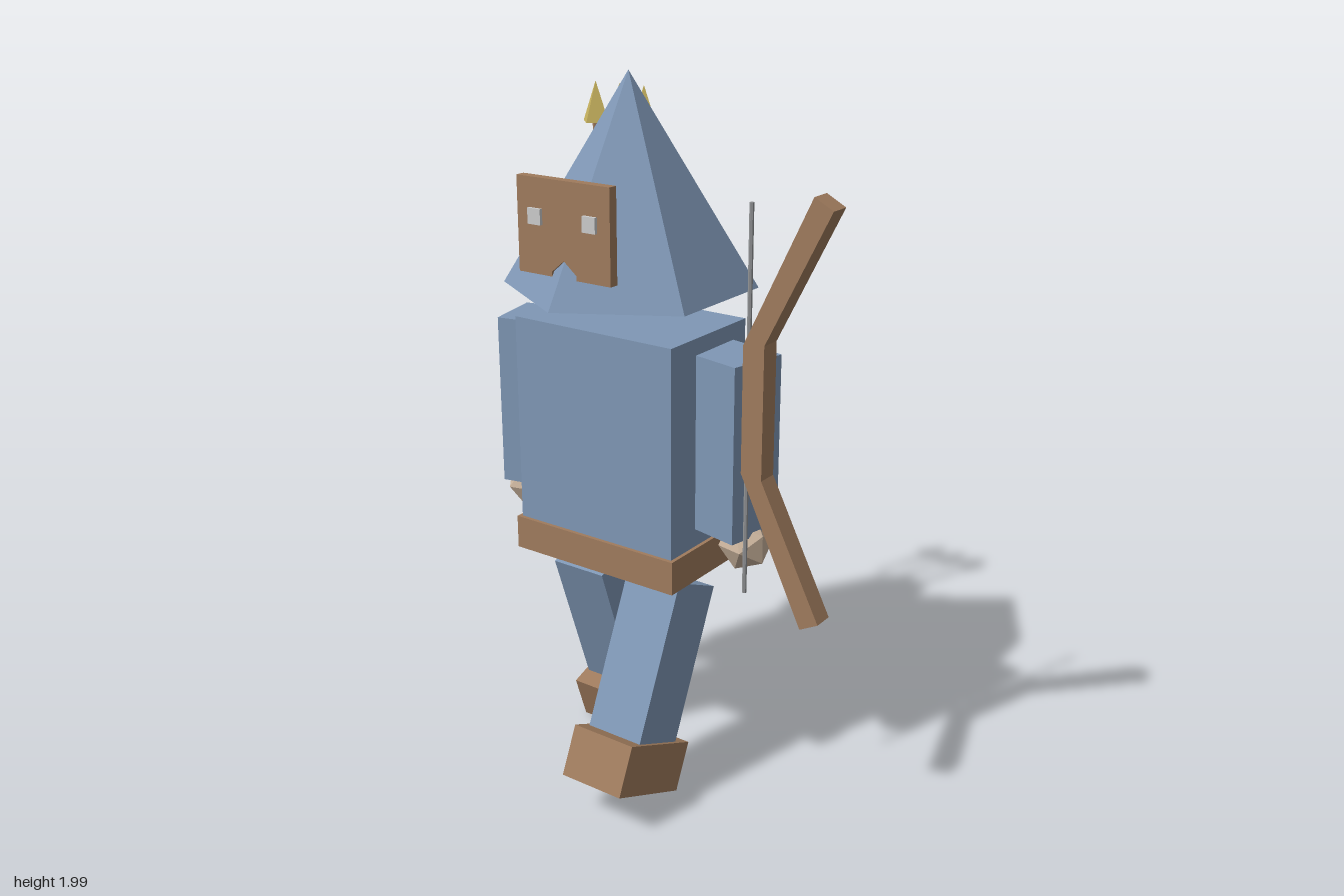
import * as THREE from 'three';

const mat = (name, color) => {
  const m = new THREE.MeshStandardMaterial({ color, flatShading: true });
  m.name = name;
  return m;
};

export function createModel() {
  const blue = mat('blue cloth', 0x7f97b5);
  const brown = mat('brown leather', 0x9f7b5d);
  const gold = mat('gold', 0xcab560);
  const skin = mat('skin', 0xc6b09a);
  const pale = mat('pale eyes', 0xcccccc);
  const grey = mat('grey string', 0x929496);

  const model = new THREE.Group();
  const add = (name, geometry, material, x, y, z, parent = model) => {
    const mesh = new THREE.Mesh(geometry, material);
    mesh.name = name;
    mesh.position.set(x, y, z);
    parent.add(mesh);
    return mesh;
  };
  const box = (w, h, d) => new THREE.BoxGeometry(w, h, d);
  const extrude = (points, depth) => new THREE.ExtrudeGeometry(
    new THREE.Shape(points.map(([x, y]) => new THREE.Vector2(x, y))),
    { depth, bevelEnabled: false });

  const cx = -0.107, cz = 0.023; // body axis

  // Hood, torso and belt
  add('hood', new THREE.ConeGeometry(0.342, 0.56, 6), blue, cx, 1.72, cz);
  add('torso', box(0.516, 0.64, 0.343), blue, cx, 1.03, cz + 0.003);
  add('belt', box(0.537, 0.095, 0.367), brown, cx, 0.717, cz + 0.002);

  // Arms angled outward, with faceted hands
  for (const s of [1, -1]) {
    const side = s > 0 ? 'left' : 'right';
    const arm = add(side + 'Arm', box(0.2, 0.489, 0.17), blue, cx + s * 0.316, 1.06, 0.012);
    arm.rotation.y = -s * 0.21;
    const hand = add(side + 'Hand', new THREE.IcosahedronGeometry(0.075), skin, cx + s * 0.376, 0.781, 0.018);
    hand.rotation.y = Math.PI / 2 - s * 0.21;
  }

  // Striding legs: each group hangs from the leg's top end
  for (const [side, x, y, z, swing] of [
    ['left', 0.038, 0.622, 0.037, -0.425],
    ['right', -0.255, 0.617, 0.003, 0.328],
  ]) {
    const leg = new THREE.Group();
    leg.name = side + 'LegGroup';
    leg.position.set(x, y, z);
    leg.rotation.x = swing;
    add(side + 'Leg', box(0.174, 0.5, 0.185), blue, 0, -0.25, 0, leg);
    add(side + 'Boot', box(0.196, 0.143, 0.292), brown, 0, -0.525, 0, leg);
    model.add(leg);
  }

  // Mask with a notch at the chin, and square eyes
  add('mask', extrude([
    [-0.147, -0.125], [-0.039, -0.125], [-0.039, -0.112], [0, -0.08],
    [0.039, -0.112], [0.039, -0.125], [0.147, -0.125], [0.147, 0.122], [-0.147, 0.122],
  ], 0.027), brown, cx, 1.638, 0.271);
  for (const s of [1, -1]) {
    add(s > 0 ? 'leftEye' : 'rightEye', box(0.041, 0.041, 0.009), pale, cx + s * 0.087, 1.662, 0.3025);
  }

  // Bow and its string
  const upper = [[0.373, 0.18], [0.553, 0.537], [0.5, 0.565], [0.311, 0.172]];
  const lower = upper.map(([x, y]) => [x, -y]).reverse();
  add('bow', extrude([...upper, ...lower], 0.058), brown, 0, 1.196, 0.056);
  add('bowString', new THREE.CylinderGeometry(0.006, 0.006, 1.05, 6), grey, 0.309, 1.196, 0.083);

  // Tilted quiver between two axis points
  const low = new THREE.Vector3(-0.408, 1.003, -0.308);
  const high = new THREE.Vector3(-0.374, 1.531, -0.176);
  const axis = high.clone().sub(low);
  const quiver = add('quiver',
    new THREE.CylinderGeometry(0.113, 0.113, axis.length(), 6).rotateY(0.2), brown,
    (low.x + high.x) / 2, (low.y + high.y) / 2, (low.z + high.z) / 2);
  quiver.quaternion.setFromUnitVectors(new THREE.Vector3(0, 1, 0), axis.normalize());

  // Three arrows
  for (let i = 0; i < 3; i++) {
    const x = -0.475 + i * 0.086;
    add('arrowShaft' + (i + 1), new THREE.CylinderGeometry(0.011, 0.011, 0.32, 5), brown, x, 1.645, -0.308);
    add('arrowHead' + (i + 1), new THREE.ConeGeometry(0.046, 0.115, 4), gold, x, 1.855, -0.308);
  }

  return model;
}
